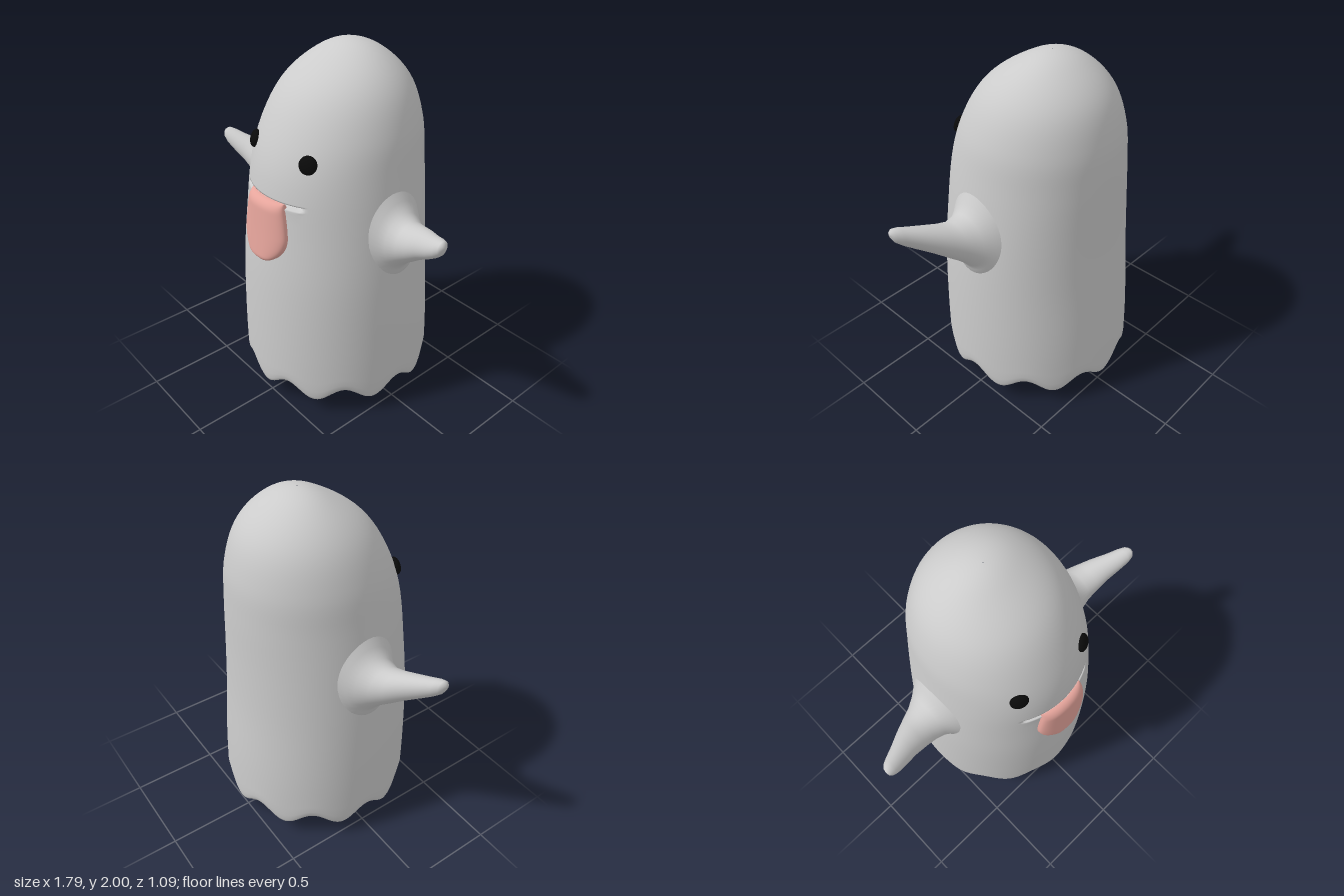
import * as THREE from 'three';

const grey = new THREE.MeshStandardMaterial({ color: 0xcccccc });
const pink = new THREE.MeshStandardMaterial({ color: 0xe6a59c });
const black = new THREE.MeshStandardMaterial({ color: 0x0a0a0a });
const TAU = Math.PI * 2;

// Body outline: height, half width, front z, back z
const OUTLINE = [
  [2, 0, -0.1, -0.1], [1.95, 0.175, 0.055, -0.255], [1.8, 0.335, 0.26, -0.405],
  [1.6, 0.42, 0.385, -0.47], [1.4, 0.455, 0.455, -0.485], [1.1, 0.495, 0.493, -0.492],
  [0.8, 0.522, 0.523, -0.505], [0.4, 0.54, 0.54, -0.535], [0, 0.545, 0.543, -0.55],
];
const KEYS = OUTLINE.map((p) => Math.sqrt(2 - p[0]));

// Smooth interpolation of one outline column; the square root keeps the crown round
function outline(y, col) {
  const s = Math.sqrt(Math.max(0, 2 - y));
  const last = KEYS.length - 1;
  let i = 0;
  while (i < last - 1 && s > KEYS[i + 1]) i++;
  const slope = (k) => {
    const a = Math.max(0, k - 1), b = Math.min(last, k + 1);
    return (OUTLINE[b][col] - OUTLINE[a][col]) / (KEYS[b] - KEYS[a]);
  };
  const h = KEYS[i + 1] - KEYS[i];
  const t = Math.min(1, (s - KEYS[i]) / h), t2 = t * t, t3 = t2 * t;
  return (2 * t3 - 3 * t2 + 1) * OUTLINE[i][col] + (t3 - 2 * t2 + t) * h * slope(i)
    + (3 * t2 - 2 * t3) * OUTLINE[i + 1][col] + (t3 - t2) * h * slope(i + 1);
}

// Cross-section ellipse of the body at a height
function section(y) {
  const f = outline(y, 2), b = outline(y, 3);
  return { rx: outline(y, 1), rz: (f - b) / 2, cz: (f + b) / 2 };
}
function frontZ(x, y) {
  const { rx, rz, cz } = section(y);
  return cz + rz * Math.sqrt(Math.max(0, 1 - (x / rx) ** 2));
}

// Skin over closed rings: point(row, angle) returns [x, y, z]
function loft(rows, segments, point) {
  const pos = [], index = [];
  rows.forEach((row, i) => {
    for (let j = 0; j < segments; j++) {
      pos.push(...point(row, (j / segments) * TAU));
      if (i === 0) continue;
      const k = (j + 1) % segments;
      const a = (i - 1) * segments + j, b = (i - 1) * segments + k;
      const c = i * segments + k, d = i * segments + j;
      index.push(a, b, c, a, c, d);
    }
  });
  const g = new THREE.BufferGeometry();
  g.setAttribute('position', new THREE.Float32BufferAttribute(pos, 3));
  g.setIndex(index);
  g.computeVertexNormals();
  return g;
}

function add(parent, name, geometry, material) {
  const mesh = new THREE.Mesh(geometry, material);
  mesh.name = name;
  parent.add(mesh);
  return mesh;
}

// Sheet body: inner lining, scalloped hem, outer skin and mouth groove
function bodyGeometry() {
  const rows = [
    { y: 0.32, k: 0.001 }, { y: 0.32, k: 0.45 }, { y: 0.32, k: 0.84 }, { y: 0.3, k: 0.87 },
    { y: 0.22, k: 0.89 }, { y: 0.15, k: 0.92 }, { y: 0.132, k: 0.94 }, { y: 0.13, k: 0.96 },
    { y: 0.138, k: 0.98 }, { y: 0.155, k: 0.992 }, { y: 0.19, k: 1 },
  ];
  for (let y = 0.24; y < 1.24; y += 0.05) rows.push({ y, k: 1 });
  const groove = [[1.25, 0], [1.262, -0.004], [1.268, 0], [1.274, 0.035], [1.29, 0.04], [1.294, 0], [1.3, 0]];
  for (const [y, cut] of groove) rows.push({ y, k: 1, cut });
  const s0 = Math.sqrt(2 - 1.33);
  for (let i = 0; i <= 28; i++) {
    const s = Math.max(0.002, s0 * (1 - i / 28));
    rows.push({ y: 2 - s * s, k: 1 });
  }
  return loft(rows, 200, (row, a) => {
    const fade = Math.min(1, Math.max(0, 1 - (row.y - 0.15) / 0.15));
    const y = row.y - 0.04 * Math.cos(10 * a) * fade;
    const { rx, rz, cz } = section(row.y);
    let k = row.k;
    if (k > 0.86 && k < 0.95) k += 0.015 * Math.cos(10 * a);
    const x = Math.sin(a) * rx * k;
    if (row.cut && Math.cos(a) > 0) {
      k -= (row.cut / rz) * (1 - THREE.MathUtils.smoothstep(Math.abs(x), 0.205, 0.235));
    }
    return [Math.sin(a) * rx * k, y, cz + Math.cos(a) * rz * k];
  });
}

// Arm: x, centre y, centre z, radius y, radius z, how far the ring hugs the body
const ARM = [
  [0.465, 1.13, 0, 0.27, 0.22, 1], [0.487, 1.12, 0, 0.235, 0.19, 1],
  [0.508, 1.1, 0, 0.19, 0.16, 0.7], [0.535, 1.092, 0.005, 0.15, 0.134, 0.35],
  [0.59, 1.107, 0.02, 0.115, 0.108, 0.1], [0.65, 1.136, 0.037, 0.098, 0.093, 0],
  [0.72, 1.174, 0.06, 0.08, 0.076, 0], [0.8, 1.212, 0.092, 0.062, 0.058, 0],
  [0.85, 1.238, 0.11, 0.051, 0.048, 0], [0.88, 1.254, 0.119, 0.039, 0.036, 0],
  [0.893, 1.262, 0.123, 0.022, 0.021, 0], [0.897, 1.264, 0.124, 0.001, 0.001, 0],
];
function armGeometry(side) {
  return loft(ARM, 40, ([x, cy, cz, ry, rz, hug], a) => {
    const dy = Math.cos(a) * ry, dz = Math.sin(a * side) * rz;
    return [side * (x - hug * (0.14 * dy + 1.1 * dz * dz)), cy + dy, cz + dz];
  });
}

// Leg and foot: y, centre z, radius x, radius z
const LEG = [
  [0, 0.01, 0.001, 0.001], [0, 0.01, 0.122, 0.162], [0, 0.01, 0.123, 0.163],
  [0.02, 0.01, 0.125, 0.165], [0.045, 0.008, 0.122, 0.16], [0.07, 0, 0.117, 0.147],
  [0.095, -0.012, 0.113, 0.132], [0.13, -0.02, 0.11, 0.122], [0.18, -0.02, 0.108, 0.12],
  [0.34, -0.02, 0.108, 0.12],
];
function legGeometry(side) {
  return loft(LEG, 40, ([y, cz, rx, rz], a) => {
    const x = Math.sin(a) * rx, z = cz + Math.cos(a) * rz, turn = side * 0.2;
    return [side * 0.125 + x * Math.cos(turn) + z * Math.sin(turn), y, z * Math.cos(turn) - x * Math.sin(turn)];
  });
}

// Tongue: soft slab that follows the front of the body, with a round tip
function tongueGeometry() {
  const rows = [];
  const n = 36, top = 1.293, bottom = 0.942;
  for (let i = 0; i <= n; i++) {
    const y = bottom + (top - bottom) * (1 - Math.cos((Math.PI * i) / n)) / 2;
    const tip = Math.max(0, (1.1 - y) / (1.1 - bottom));
    const w = y < 1.1 ? 0.165 * Math.sqrt(Math.max(1e-5, 1 - tip * tip))
      : 0.165 - 0.033 * ((y - 1.1) / (top - 1.1)) ** 1.3;
    const ends = Math.min(1, (y - bottom) / 0.035, (top - y) / 0.05);
    rows.push({ y, w, t: 0.042 * Math.sqrt(Math.max(1e-4, 1 - (1 - ends) ** 2)) });
  }
  const soft = (v) => Math.sign(v) * Math.abs(v) ** 0.6;
  return loft(rows, 48, ({ y, w, t }, a) => {
    const x = soft(Math.sin(a)) * w;
    return [x, y, frontZ(x, y) + 0.002 + soft(Math.cos(a)) * t];
  });
}

export function createModel() {
  const model = new THREE.Group();
  model.name = 'ghost';
  add(model, 'body', bodyGeometry(), grey);
  add(model, 'tongue', tongueGeometry(), pink);

  for (const side of [1, -1]) {
    const label = side > 0 ? 'left' : 'right';
    add(model, label + 'Arm', armGeometry(side), grey);
    add(model, label + 'Leg', legGeometry(side), grey);

    // Flattened eye turned to lie on the face
    const eye = add(model, label + 'Eye', new THREE.SphereGeometry(1, 32, 20), black);
    eye.scale.set(0.048, 0.048, 0.026);
    eye.position.set(side * 0.218, 1.51, frontZ(0.218, 1.51) + 0.004);
    eye.rotation.set(-0.32, side * 0.5, 0, 'YXZ');
  }
  return model;
}
